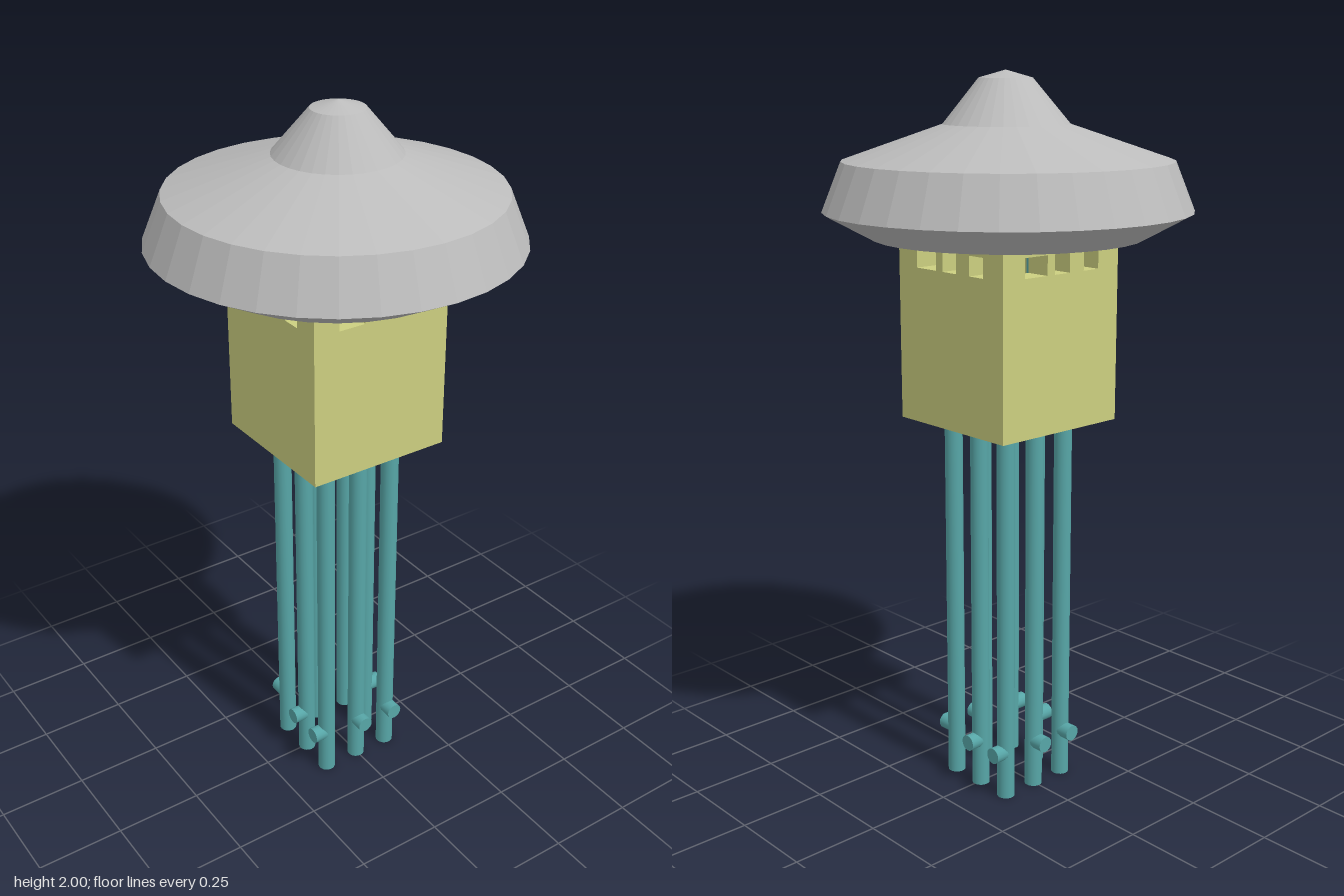
import * as THREE from 'three';

export function createModel() {
  const model = new THREE.Group();
  const paint = (name, color, flatShading = false) => {
    const m = new THREE.MeshStandardMaterial({ color, flatShading });
    m.name = name;
    return m;
  };
  const grey = paint('capGrey', 0xbcbcbc, true);
  const yellow = paint('housingYellow', 0xcccf80);
  const teal = paint('tubeTeal', 0x57a6a7);

  const add = (parent, name, geometry, material) => {
    const mesh = new THREE.Mesh(geometry, material);
    mesh.name = name;
    parent.add(mesh);
    return mesh;
  };

  // Faceted domed cap, profile from bottom centre to tip
  const profile = [[0, 1.57], [0.365, 1.57], [0.493, 1.64], [0.44, 1.77], [0.168, 1.863], [0.071, 1.98], [0, 2]]
    .map(([r, y]) => new THREE.Vector2(r, y));
  const capGeometry = new THREE.LatheGeometry(profile, 32);
  // The crown leans very slightly off centre
  const p = capGeometry.attributes.position;
  for (let i = 0; i < p.count; i++) {
    if (p.getY(i) > 1.9) p.setZ(i, p.getZ(i) + 0.01);
    else if (p.getY(i) > 1.8) p.setX(i, p.getX(i) + 0.006);
  }
  add(model, 'cap', capGeometry, grey);

  // Housing: four thick walls, each pierced by one wide and two small windows
  const outer = 0.207, inner = 0.135;
  const wallShape = new THREE.Shape();
  wallShape.moveTo(-outer, 1.07);
  wallShape.lineTo(inner, 1.07);
  wallShape.lineTo(inner, 1.575);
  wallShape.lineTo(-outer, 1.575);
  wallShape.closePath();
  for (const [x0, x1] of [[-0.132, -0.053], [-0.027, 0.027], [0.078, 0.132]]) {
    const hole = new THREE.Path();
    hole.moveTo(x0, 1.492);
    hole.lineTo(x0, 1.545);
    hole.lineTo(x1, 1.545);
    hole.lineTo(x1, 1.492);
    hole.closePath();
    wallShape.holes.push(hole);
  }
  const wallGeometry = new THREE.ExtrudeGeometry(wallShape, { depth: outer - inner, bevelEnabled: false });
  wallGeometry.translate(0, 0, inner);

  // Tubes: a square ring of eight, each with a short side outlet near the foot
  const pitch = 0.107;
  const tubeGeometry = new THREE.CylinderGeometry(0.025, 0.025, 1.58, 20);
  tubeGeometry.translate(0, 0.79, pitch);
  const outletGeometry = new THREE.CylinderGeometry(0.023, 0.023, 0.05, 16);
  outletGeometry.rotateX(Math.PI / 2);
  outletGeometry.translate(0, 0.137, pitch + 0.025);

  for (let k = 0; k < 4; k++) {
    const side = new THREE.Group();
    side.name = 'side' + (k + 1);
    side.rotation.y = k * Math.PI / 2;
    add(side, 'housingWall', wallGeometry, yellow);
    for (const x of [0, pitch]) {
      add(side, 'tube', tubeGeometry, teal).position.x = x;
      add(side, 'outlet', outletGeometry, teal).position.x = x;
    }
    model.add(side);
  }
  return model;
}
